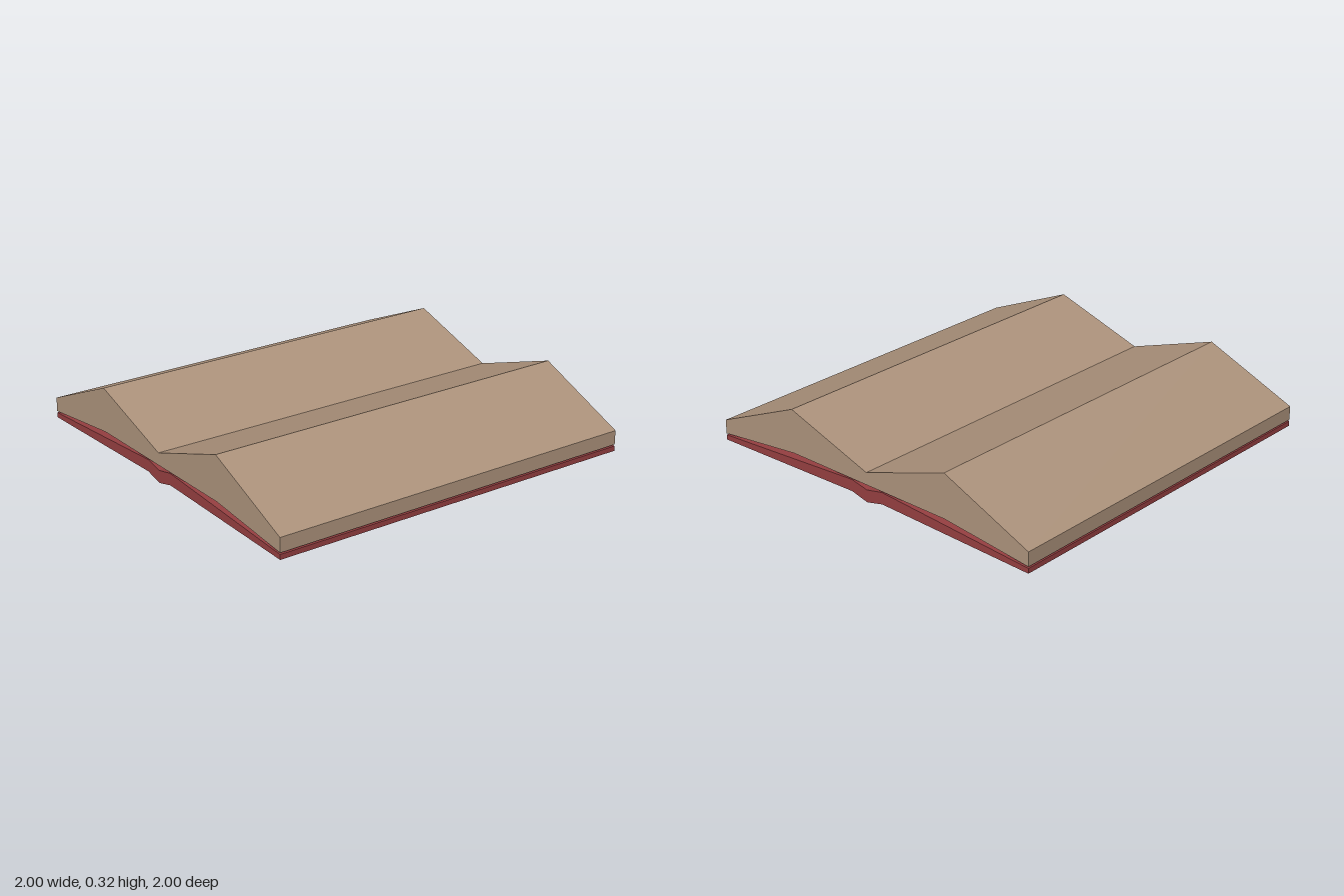
import * as THREE from 'three';

const paper = new THREE.MeshStandardMaterial({ color: 0xad937c });
paper.name = 'paper';
const leather = new THREE.MeshStandardMaterial({ color: 0x963f41 });
leather.name = 'red leather';

// Extrude a mirrored cross-section along z; points run from the centre (x = 0) outwards
function slab(name, top, bottom, material) {
  const mirror = (pts) => pts.filter(([x]) => x > 0).reverse().map(([x, y]) => [-x, y]);
  const upper = [...mirror(top), ...top];
  const lower = [...mirror(bottom), ...bottom].reverse();
  const shape = new THREE.Shape([...upper, ...lower].map(([x, y]) => new THREE.Vector2(x, y)));
  const geometry = new THREE.ExtrudeGeometry(shape, { depth: 2, bevelEnabled: false });
  geometry.translate(0, 0, -1);
  const mesh = new THREE.Mesh(geometry, material);
  mesh.name = name;
  return mesh;
}

export function createModel() {
  const book = new THREE.Group();
  book.name = 'openBook';

  // Two page stacks sloping down into the gutter
  book.add(slab('pages',
    [[0, 0.155], [0.5, 0.323], [1, 0.11]],
    [[0.5, 0.091], [1, 0.036]], paper));

  // Thin cover with a creased spine
  book.add(slab('cover',
    [[0, 0.065], [0.1, 0.086], [1, 0.028]],
    [[0, 0], [0.1, 0.024], [1, 0.002]], leather));

  return book;
}
